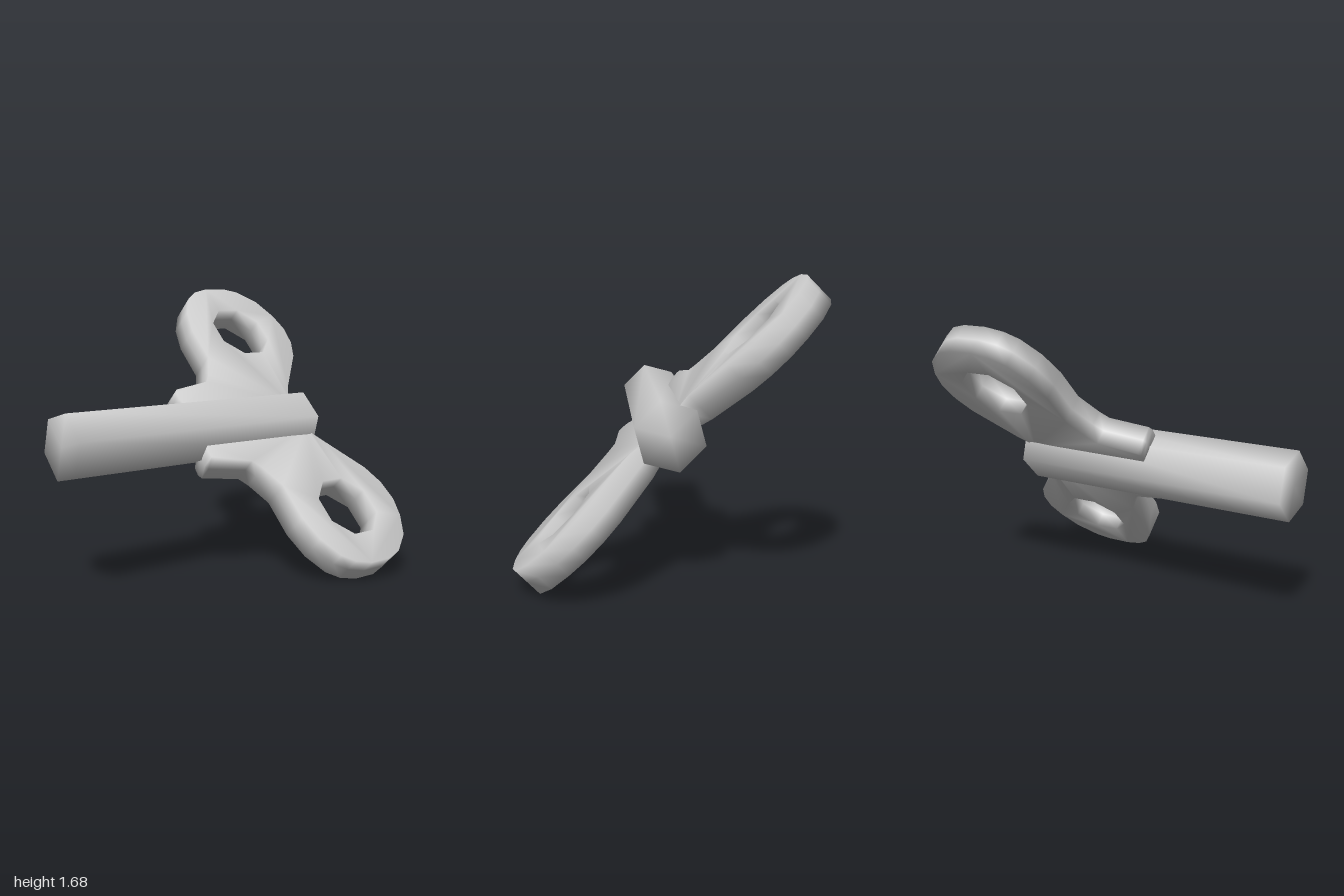
import * as THREE from 'three';
import { mergeVertices } from 'three/addons/utils/BufferGeometryUtils.js';

const material = new THREE.MeshStandardMaterial({ color: 0xcccccc });
const THICKNESS = 0.18;
const AXIS_HEIGHT = 0.838;

// Weld all corners so the shading runs smoothly over the edges
function smooth(geometry) {
  geometry.deleteAttribute('uv');
  geometry.deleteAttribute('normal');
  const welded = mergeVertices(geometry, 1e-4);
  welded.computeVertexNormals();
  return welded;
}

// Handle plate: x runs outward from the shaft, y runs along it
function wingGeometry() {
  const outline = [
    [0.1, 0.13], [0.15, 0.14], [0.19, 0.165], [0.24, 0.165], [0.262, 0.15],
    [0.305, -0.1], [0.36, -0.145], [0.5, -0.22], [0.73, -0.22], [0.885, -0.26],
    [1.01, -0.34], [1.065, -0.42], [1.095, -0.53], [1.095, -0.68], [1.065, -0.78],
    [0.97, -0.9], [0.84, -0.97], [0.72, -1], [0.59, -0.985], [0.47, -0.93],
    [0.22, -0.72], [0.16, -0.69], [0.1, -0.68],
  ];
  const shape = new THREE.Shape(outline.map(([x, y]) => new THREE.Vector2(x, y)));

  // Eight-sided finger hole, wound opposite to the outline
  const hole = [];
  for (let i = 0; i < 8; i++) {
    const a = (i + 0.5) * Math.PI / 4;
    hole.push(new THREE.Vector2(0.707 + 0.206 * Math.cos(a), -0.61 + 0.206 * Math.sin(a)));
  }
  shape.holes.push(new THREE.Path(hole));

  const extruded = new THREE.ExtrudeGeometry(shape, { depth: THICKNESS, steps: 2, bevelEnabled: false });
  extruded.translate(0, 0, -THICKNESS / 2);
  const geometry = smooth(extruded);

  const p = geometry.attributes.position;
  const normals = geometry.attributes.normal;
  const n = new THREE.Vector3();
  for (let i = 0; i < p.count; i++) {
    // Rounded rim shading: outward along the middle, nearly flat on the two faces
    const side = Math.abs(p.getZ(i)) < 0.01 ? 0 : Math.sign(p.getZ(i));
    n.set(normals.getX(i), normals.getY(i), 0).normalize();
    n.multiplyScalar(side ? 0.3 : 1).setZ(side).normalize();
    normals.setXYZ(i, n.x, n.y, n.z);

    // Thin the plate slightly where it enters the shaft
    const t = THREE.MathUtils.clamp((p.getX(i) - 0.1) / 0.12, 0, 1);
    p.setZ(i, p.getZ(i) * (0.76 + 0.24 * t));
  }

  // Lay the plate along the shaft, sloping 45 degrees down to the left side
  const s = Math.SQRT1_2;
  return geometry.applyMatrix4(new THREE.Matrix4().makeBasis(
    new THREE.Vector3(s, -s, 0), new THREE.Vector3(0, 0, 1), new THREE.Vector3(-s, -s, 0)));
}

export function createModel() {
  const model = new THREE.Group();
  model.name = 'windUpKey';

  // Six-sided shaft
  const shaftGeometry = new THREE.CylinderGeometry(0.197, 0.197, 1.72, 6);
  shaftGeometry.rotateX(Math.PI / 2).rotateZ(Math.PI / 4);
  const shaft = new THREE.Mesh(smooth(shaftGeometry), material);
  shaft.name = 'shaft';
  shaft.position.set(0, AXIS_HEIGHT, 0.14);
  model.add(shaft);

  // Two opposite handle wings
  const geometry = wingGeometry();
  ['leftWing', 'rightWing'].forEach((name, i) => {
    const wing = new THREE.Mesh(geometry, material);
    wing.name = name;
    wing.position.y = AXIS_HEIGHT;
    wing.rotation.z = i * Math.PI;
    model.add(wing);
  });
  return model;
}
